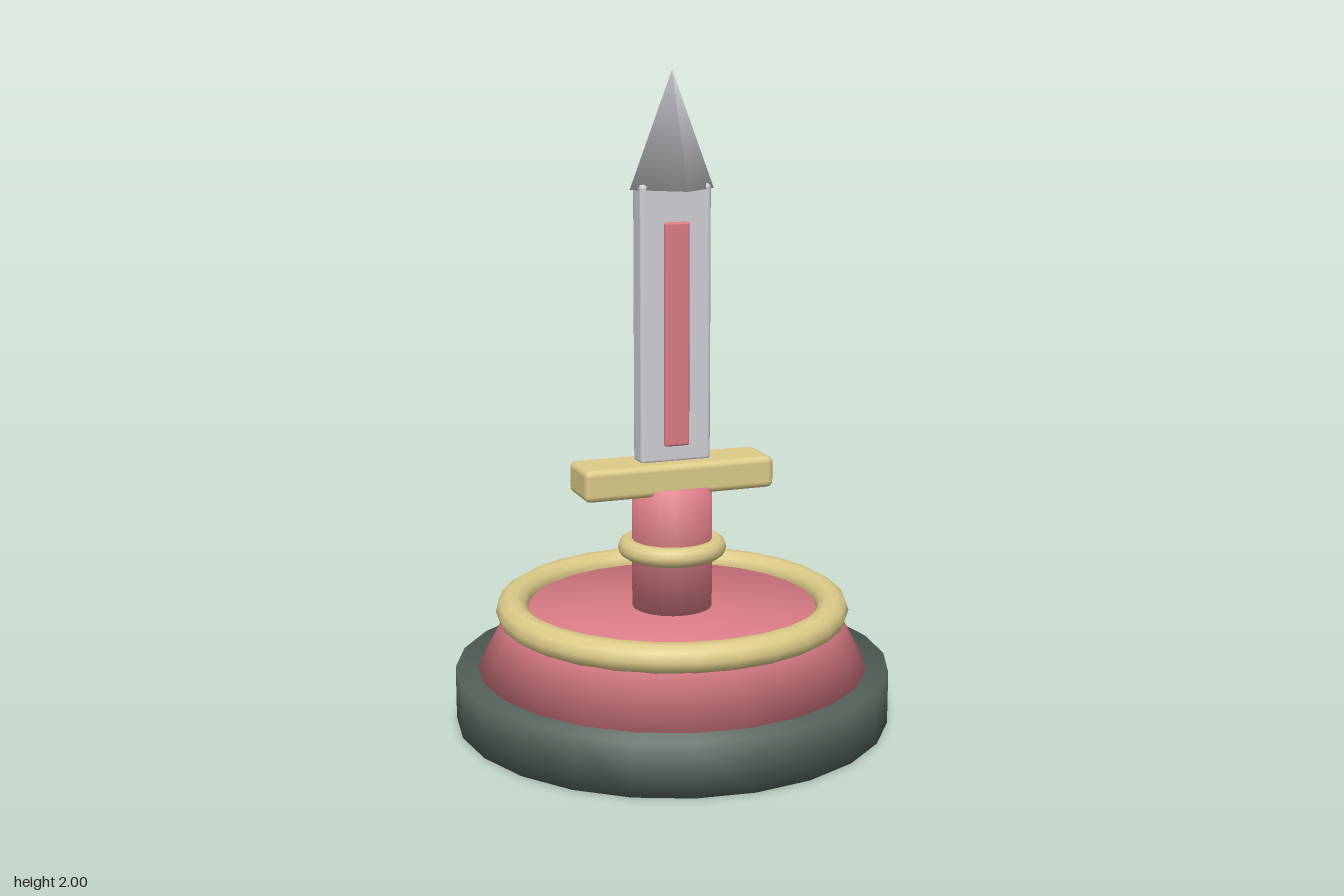
import * as THREE from 'three';
import { RoundedBoxGeometry } from 'three/addons/geometries/RoundedBoxGeometry.js';

const paint = (name, color) => {
  const m = new THREE.MeshStandardMaterial({ color });
  m.name = name;
  return m;
};

// Turned solid whose normals blend evenly across every edge of the profile
function turned(profile, sides) {
  const points = profile.map(([r, y]) => new THREE.Vector2(r, y));
  const geo = new THREE.LatheGeometry(points, sides);
  const slopes = points.slice(1).map((p, i) => {
    const d = p.clone().sub(points[i]).normalize();
    return new THREE.Vector2(d.y, -d.x);
  });
  const normal = geo.attributes.normal;
  for (let i = 0; i <= sides; i++) {
    const a = (i / sides) * Math.PI * 2;
    points.forEach((p, j) => {
      const before = slopes[Math.max(j - 1, 0)];
      const after = slopes[Math.min(j, slopes.length - 1)];
      const n = before.clone().add(after).normalize();
      normal.setXYZ(i * points.length + j, n.x * Math.sin(a), n.y, n.x * Math.cos(a));
    });
  }
  return geo;
}

// Closed frustum standing between two heights
const frustum = (r0, y0, r1, y1, sides) =>
  turned([[0, y0], [r0, y0], [r1, y1], [0, y1]], sides);

export function createModel() {
  const model = new THREE.Group();
  model.name = 'swordTrophy';

  const dark = paint('dark green grey', 0x55635a);
  const pink = paint('rose pink', 0xdb7d86);
  const gold = paint('pale gold', 0xdccb88);
  const steel = paint('steel', 0xcfcfd5);

  const add = (name, geometry, material, y = 0) => {
    const mesh = new THREE.Mesh(geometry, material);
    mesh.name = name;
    mesh.position.y = y;
    model.add(mesh);
    return mesh;
  };
  const ring = (name, radius, tube, y) => {
    const geo = new THREE.TorusGeometry(radius, tube, 10, 28);
    geo.rotateX(Math.PI / 2);
    return add(name, geo, gold, y);
  };

  // Stepped stand
  add('base', frustum(0.68, 0, 0.68, 0.165, 24), dark);
  add('pedestal', frustum(0.61, 0.165, 0.51, 0.35, 24), pink);
  ring('pedestalRing', 0.502, 0.05, 0.348).scale.y = 0.92;

  // Grip and its collar
  add('grip', frustum(0.125, 0.34, 0.125, 0.74, 20), pink);
  ring('gripRing', 0.138, 0.031, 0.54);

  // Crossguard, blade and inlay showing on both faces
  add('crossguard', new RoundedBoxGeometry(0.615, 0.1, 0.175, 2, 0.02), gold, 0.77);
  add('blade', new RoundedBoxGeometry(0.228, 0.85, 0.076, 2, 0.012), steel, 1.24);
  add('inlay', new RoundedBoxGeometry(0.08, 0.685, 0.1, 2, 0.008), pink, 1.21);

  // Four-sided point with its corners on the axes
  add('bladeTip', turned([[0, 1.648], [0.135, 1.648], [0, 2]], 4), steel);

  return model;
}
